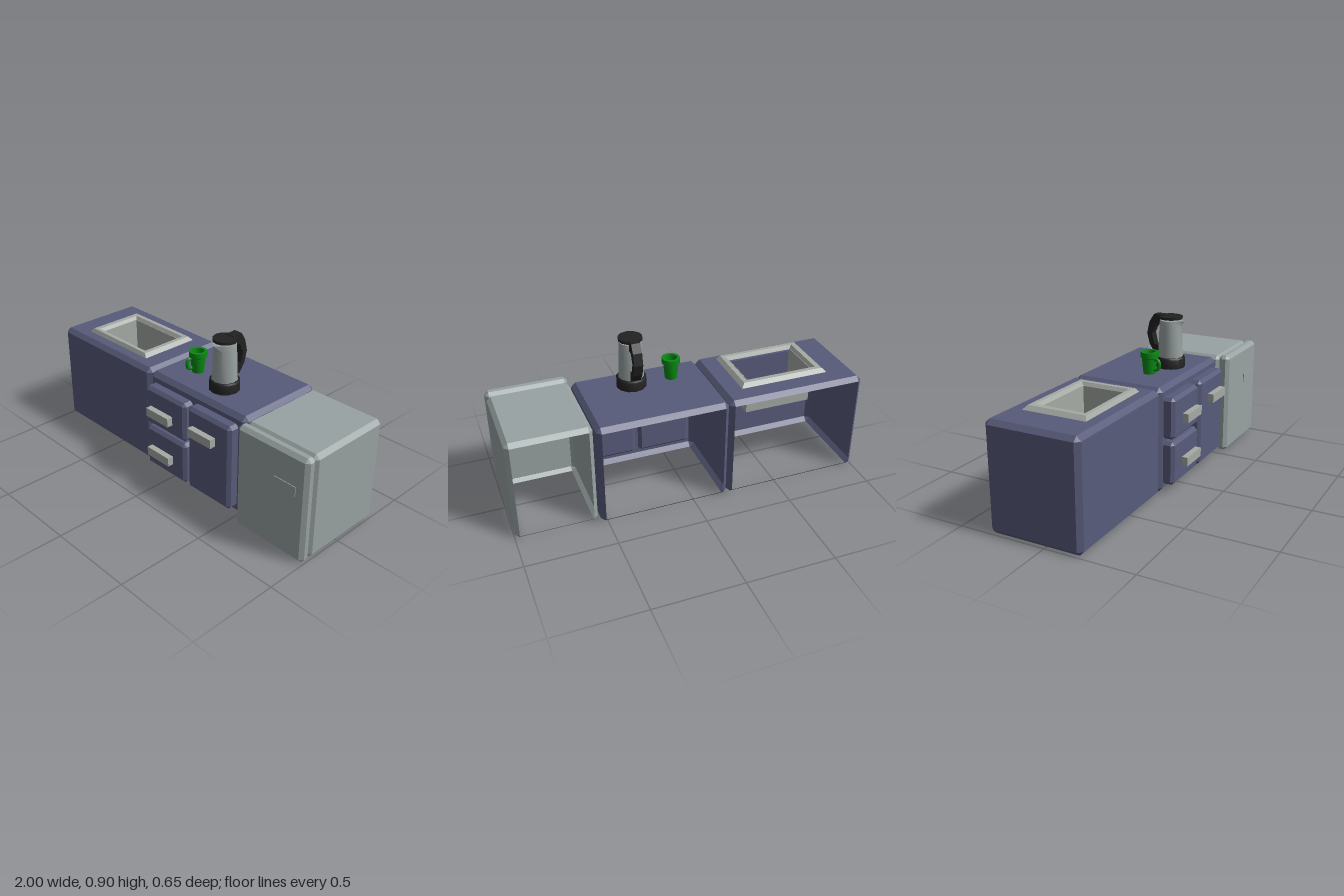
import * as THREE from 'three';
import { toCreasedNormals } from 'three/addons/utils/BufferGeometryUtils.js';

const mat = (name, color) => new THREE.MeshStandardMaterial({ name, color, side: THREE.DoubleSide });

// Flat-shaded geometry from convex polygons, each turned to face along its given outward direction
function fromPolygons(polys) {
  const pos = [];
  for (const { pts, out } of polys) {
    const n = new THREE.Vector3().crossVectors(pts[1].clone().sub(pts[0]), pts[2].clone().sub(pts[0]));
    const p = n.dot(out) < 0 ? [...pts].reverse() : pts;
    for (let i = 1; i < p.length - 1; i++) for (const v of [p[0], p[i], p[i + 1]]) pos.push(v.x, v.y, v.z);
  }
  const g = new THREE.BufferGeometry();
  g.setAttribute('position', new THREE.Float32BufferAttribute(pos, 3));
  g.computeVertexNormals();
  return g;
}

// Box with chamfered edges; faces named in skip ('-z', '+y'...) are left open
function chamferBox([x0, x1], [y0, y1], [z0, z1], b, skip = []) {
  const lo = [x0, y0, z0], hi = [x1, y1, z1], S = [-1, 1], polys = [];
  // corner point lying on the face of one axis, inset by b along the other two
  const P = (axis, s) => new THREE.Vector3(...[0, 1, 2].map(i =>
    (s[i] > 0 ? hi[i] : lo[i]) - (i === axis ? 0 : s[i] * b)));
  const sg = (a, sa, c, sc, e, se) => { const s = []; s[a] = sa; s[c] = sc; s[e] = se; return s; };
  for (let a = 0; a < 3; a++) {
    const c = (a + 1) % 3, e = (a + 2) % 3;
    for (const s of S) {
      if (!skip.includes((s > 0 ? '+' : '-') + 'xyz'[a])) {
        polys.push({
          pts: [[-1, -1], [1, -1], [1, 1], [-1, 1]].map(([p, q]) => P(a, sg(a, s, c, p, e, q))),
          out: new THREE.Vector3(...sg(a, s, c, 0, e, 0)),
        });
      }
      // chamfer strips shared by axes a and c
      for (const t of S) {
        const m = sg(a, s, c, t, e, -1), n = sg(a, s, c, t, e, 1);
        polys.push({ pts: [P(a, m), P(a, n), P(c, n), P(c, m)], out: new THREE.Vector3(...sg(a, s, c, t, e, 0)) });
      }
    }
  }
  for (const x of S) for (const y of S) for (const z of S) {
    const s = [x, y, z];
    polys.push({ pts: [P(0, s), P(1, s), P(2, s)], out: new THREE.Vector3(x, y, z) });
  }
  return fromPolygons(polys);
}

// Rectangular ring swept through sections [x0, x1, z0, z1, y], closed back on the first
function rectRing(sections, outs) {
  const corners = ([x0, x1, z0, z1, y]) =>
    [[x0, z0], [x1, z0], [x1, z1], [x0, z1]].map(([x, z]) => new THREE.Vector3(x, y, z));
  const sides = [[0, -1], [1, 0], [0, 1], [-1, 0]], polys = [];
  sections.forEach((s, i) => {
    const a = corners(s), b = corners(sections[(i + 1) % sections.length]), [h, v] = outs[i];
    sides.forEach(([dx, dz], k) => polys.push({
      pts: [a[k], a[(k + 1) % 4], b[(k + 1) % 4], b[k]],
      out: new THREE.Vector3(dx * h, v, dz * h),
    }));
  });
  return fromPolygons(polys);
}

const lathe = (points, sides) =>
  new THREE.LatheGeometry(points.map(p => new THREE.Vector2(...p)), sides);

export function createModel() {
  const model = new THREE.Group();
  model.name = 'kitchenUnit';
  const blue = mat('cabinetBlue', 0x585b7a);
  const grey = mat('fridgeGrey', 0x99a2a2);
  const steel = mat('sinkGrey', 0xa5aaa5);
  const black = mat('kettleBlack', 0x222222);
  const green = mat('cupGreen', 0x0a8a14);

  const add = (name, geometry, material, parent = model) => {
    const m = new THREE.Mesh(geometry, material);
    m.name = name;
    parent.add(m);
    return m;
  };
  const group = name => {
    const g = new THREE.Group();
    g.name = name;
    model.add(g);
    return g;
  };
  const box = (name, [x0, x1], [y0, y1], [z0, z1], material, parent) =>
    add(name, new THREE.BoxGeometry(x1 - x0, y1 - y0, z1 - z0), material, parent)
      .position.set((x0 + x1) / 2, (y0 + y1) / 2, (z0 + z1) / 2);

  // Sink cabinet: shell open at back and bottom, worktop with a cut-out
  const sink = group('sinkCabinet');
  const c = 0.025;
  add('sinkShell', chamferBox([-1, -0.2], [0, 0.6], [-0.325, 0.21], c, ['-z', '-y', '+y']), blue, sink);
  const rect = (C, x0, x1, z0, z1) => new C([[x0, -z1], [x1, -z1], [x1, -z0], [x0, -z0]]
    .map(p => new THREE.Vector2(...p)));
  const top = rect(THREE.Shape, -1 + c, -0.2 - c, -0.325 + c, 0.21 - c);
  top.holes.push(rect(THREE.Path, -0.76, -0.37, -0.16, 0.095));
  add('sinkWorktop', new THREE.ShapeGeometry(top).rotateX(-Math.PI / 2).translate(0, 0.6, 0), blue, sink);

  // Basin of thin sheets, open towards the front panel
  const t = 0.003;
  box('basinBottom', [-0.76, -0.37], [0.41, 0.41 + t], [-0.16, 0.095], steel, sink);
  box('basinBack', [-0.76, -0.37], [0.41, 0.615], [-0.16, -0.16 + t], steel, sink);
  for (const x of [-0.76, -0.37 - t]) box('basinSide', [x, x + t], [0.41, 0.615], [-0.16, 0.095], steel, sink);
  add('sinkRim', rectRing([
    [-0.825, -0.31, -0.22, 0.142, 0.61],
    [-0.805, -0.33, -0.2, 0.13, 0.632],
    [-0.775, -0.355, -0.175, 0.108, 0.632],
    [-0.76, -0.37, -0.16, 0.095, 0.61],
  ], [[1, 0.5], [0, 1], [-1, 0.5], [0, -1]]), steel, sink);

  // Drawer cabinet with two drawers and a door
  const drawers = group('drawerCabinet');
  add('drawerShell', chamferBox([-0.197, 0.537], [0, 0.6], [-0.325, 0.21], c, ['-z', '-y']), blue, drawers);
  for (const [name, x, y, hx, hy] of [
    ['upperDrawer', [-0.165, 0.152], [0.31, 0.545], [-0.098, 0.075], 0.4],
    ['lowerDrawer', [-0.165, 0.152], [0.045, 0.295], [-0.098, 0.075], 0.15],
    ['cabinetDoor', [0.172, 0.488], [0.045, 0.55], [0.233, 0.402], 0.416],
  ]) {
    add(name, chamferBox(x, y, [0.19, 0.272], 0.018), blue, drawers);
    box(name + 'Handle', hx, [hy, hy + 0.05], [0.29, 0.325], steel, drawers);
  }

  // Fridge: open-backed body, door and a thin grip plate
  const fridge = group('fridge');
  add('fridgeBody', chamferBox([0.545, 0.998], [0, 0.6], [-0.292, 0.222], 0.023, ['-z', '-y']), grey, fridge);
  add('fridgeDoor', chamferBox([0.545, 1], [0.003, 0.606], [0.217, 0.283], 0.02), grey, fridge);
  box('fridgeGrip', [0.8, 0.935], [0.38, 0.435], [0.28, 0.287], grey, fridge);

  // Kettle
  const kettle = group('kettle');
  kettle.position.set(0.23, 0, 0.053);
  add('kettleBase', toCreasedNormals(
    lathe([[0, 0.6], [0.084, 0.6], [0.084, 0.652], [0.078, 0.661], [0, 0.661]], 12), 0.7), black, kettle);
  const body = lathe([[0, 0.66], [0.071, 0.66], [0.064, 0.835], [0.062, 0.87], [0, 0.87]], 12);
  const p = body.attributes.position;
  // pull the front of the rim out into a spout
  for (let i = 0; i < p.count; i++) {
    if (p.getY(i) > 0.86 && p.getZ(i) > 0.06) p.setZ(i, 0.084);
  }
  add('kettleBody', toCreasedNormals(body, 0.7), grey, kettle);
  const lid = add('kettleLid', new THREE.CylinderGeometry(0.067, 0.067, 0.015, 12), black, kettle);
  lid.position.y = 0.886;
  const outline = [[0.02, 0.898], [-0.042, 0.898], [-0.07, 0.852], [-0.085, 0.786], [-0.068, 0.721],
    [-0.032, 0.669], [-0.013, 0.669], [-0.013, 0.721], [-0.04, 0.726], [-0.054, 0.786], [-0.03, 0.84],
    [-0.006, 0.84], [-0.006, 0.871], [0.02, 0.871]];
  const handle = new THREE.ExtrudeGeometry(
    new THREE.Shape(outline.map(([z, y]) => new THREE.Vector2(0.053 - z, y))),
    { depth: 0.05, bevelEnabled: false });
  add('kettleHandle', handle.translate(0, 0, -0.025).rotateY(Math.PI / 2), black, kettle);

  // Cup
  const cup = group('cup');
  cup.position.set(0.007, 0, 0.035);
  add('cupBody', toCreasedNormals(lathe([[0, 0.612], [0.034, 0.612], [0.043, 0.7], [0.051, 0.705],
    [0.051, 0.736], [0.035, 0.736], [0.027, 0.628], [0, 0.628]], 12), 0.7), green, cup);
  const loop = new THREE.CatmullRomCurve3([[0.036, 0.64], [0.058, 0.644], [0.067, 0.67], [0.06, 0.694], [0.04, 0.698]]
    .map(([z, y]) => new THREE.Vector3(-0.014, y, z)));
  add('cupHandle', new THREE.TubeGeometry(loop, 12, 0.01, 6), green, cup);

  return model;
}
